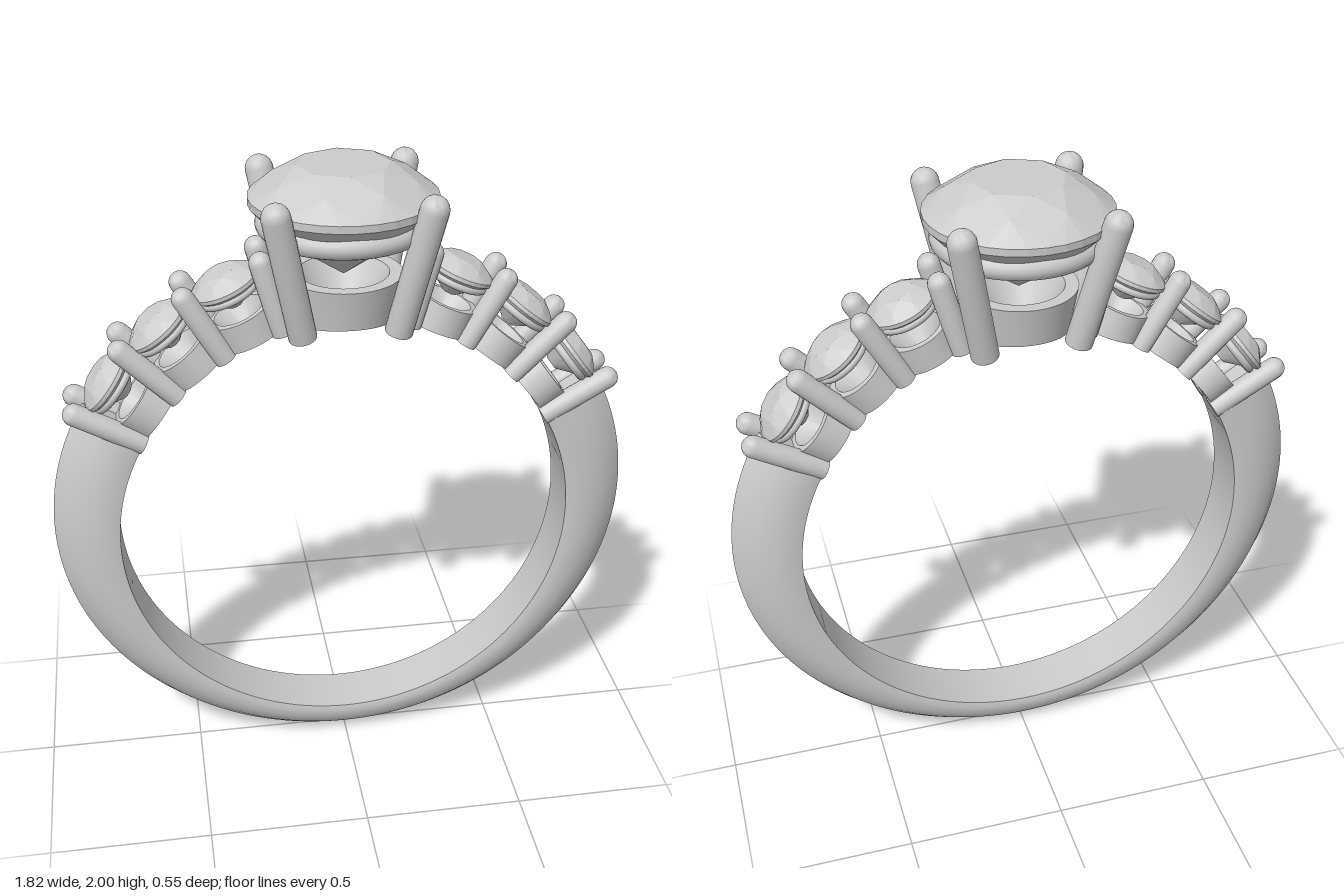
import * as THREE from 'three';
import { toCreasedNormals } from 'three/addons/utils/BufferGeometryUtils.js';
import { ConvexGeometry } from 'three/addons/geometries/ConvexGeometry.js';

const metal = new THREE.MeshStandardMaterial({ color: 0xcccccc });
const gemMaterial = new THREE.MeshStandardMaterial({ color: 0xcccccc, flatShading: true });
const FINGER = { y: 0.84, r: 0.71 };
const V = (x, y, z) => new THREE.Vector3(x, y, z);

function add(parent, name, geometry, material = metal) {
  const mesh = new THREE.Mesh(geometry, material);
  mesh.name = name;
  parent.add(mesh);
  return mesh;
}

// Knife-edged band: a pointed-arch section swept around the finger hole, thicker at the shoulders
function bandGeometry() {
  const half = [[0, 0.086], [0.14, 0.091], [0.4, 0.085], [0.65, 0.064], [0.85, 0.034]];
  const section = [...half, [1, 0], ...half.map(([t, z]) => [t, -z]).reverse()];
  const n = section.length, steps = 120;
  const pos = [], idx = [];
  for (let i = 0; i <= steps; i++) {
    const a = THREE.MathUtils.degToRad(150 + (240 * i) / steps);
    const c = Math.cos(a), s = Math.sin(a);
    for (const [t, z] of section) {
      pos.push(
        THREE.MathUtils.lerp(FINGER.r * c, 0.91 * c, t),
        THREE.MathUtils.lerp(FINGER.y + FINGER.r * s, 0.87 + 0.868 * s, t), z);
    }
  }
  for (let i = 0; i < steps; i++) {
    for (let j = 0; j < n; j++) {
      const k = (j + 1) % n, a = i * n, b = a + n;
      idx.push(a + j, a + k, b + j, b + j, a + k, b + k);
    }
  }
  const last = steps * n;
  for (let j = 1; j < n - 1; j++) {
    idx.push(0, j + 1, j, last, last + j, last + j + 1);
  }
  const g = new THREE.BufferGeometry();
  g.setAttribute('position', new THREE.Float32BufferAttribute(pos, 3));
  g.setIndex(idx);
  return toCreasedNormals(g, 0.6);
}

// Faceted round stone with its girdle at y = 0
function gemGeometry(r, crown, pavilion, girdle, culet) {
  const pts = [];
  const ring = (count, radius, y, turn = 0) => {
    for (let i = 0; i < count; i++) {
      const a = ((i + turn) / count) * Math.PI * 2;
      pts.push(V(radius * Math.cos(a), y, radius * Math.sin(a)));
    }
  };
  ring(8, r * 0.5, crown);
  ring(8, r * 0.76, crown * 0.64, 0.5);
  ring(32, r, girdle / 2);
  ring(32, r, -girdle / 2);
  ring(8, r * 0.72, -pavilion * 0.42, 0.5);
  ring(8, culet, -pavilion);
  return new ConvexGeometry(pts);
}

// Round wire with a flat foot and domed tip, running from a to b
function addProng(parent, name, a, b, r) {
  const length = a.distanceTo(b);
  const profile = [new THREE.Vector2(0, 0), new THREE.Vector2(r, 0)];
  for (let i = 0; i <= 6; i++) {
    const t = (i / 6) * Math.PI / 2;
    profile.push(new THREE.Vector2(i === 6 ? 0 : r * Math.cos(t), length - r + r * Math.sin(t)));
  }
  const mesh = add(parent, name, toCreasedNormals(new THREE.LatheGeometry(profile, 20), 0.7));
  mesh.position.copy(a);
  mesh.quaternion.setFromUnitVectors(V(0, 1, 0), b.clone().sub(a).normalize());
}

// Wire ring that carries a stone just below its girdle
function addBasket(parent, name, radius, wire, y) {
  const mesh = add(parent, name, new THREE.TorusGeometry(radius, wire, 14, 48));
  mesh.rotation.x = Math.PI / 2;
  mesh.position.y = y;
}

// Cup with a tapered hole; its underside follows the finger hole (y measured from the hole's centre)
function seatGeometry(outerBottom, outerTop, top, holeTop, holeBottom) {
  const profile = [
    [holeBottom, FINGER.r], [outerBottom, FINGER.r], [outerTop, top], [holeTop, top], [holeBottom, FINGER.r],
  ];
  const g = new THREE.LatheGeometry(profile.map(([x, y]) => new THREE.Vector2(x, y)), 40);
  const p = g.attributes.position;
  for (let i = 0; i < p.count; i++) {
    if (p.getY(i) < FINGER.r + 0.001) p.setY(i, Math.sqrt(FINGER.r ** 2 - p.getX(i) ** 2));
  }
  return toCreasedNormals(g, 0.6);
}

export function createModel() {
  const ring = new THREE.Group();
  ring.name = 'ring';
  add(ring, 'band', bandGeometry());

  // Centre setting
  const centre = new THREE.Group();
  centre.name = 'centreSetting';
  ring.add(centre);
  add(centre, 'centreStone', gemGeometry(0.275, 0.1, 0.23, 0.022, 0.004), gemMaterial).position.y = 1.9;
  addBasket(centre, 'basketRing', 0.222, 0.034, 1.83);
  add(centre, 'centreSeat', seatGeometry(0.15, 0.175, 0.835, 0.135, 0.065)).position.y = FINGER.y;
  for (const x of [-1, 1]) {
    for (const z of [-1, 1]) {
      addProng(centre, 'centreProng', V(x * 0.14, 1.535, z * 0.14), V(x * 0.226, 1.965, z * 0.226), 0.042);
    }
  }

  // Shoulder settings: three stones and four pairs of shared prongs on each side
  const accentGem = gemGeometry(0.108, 0.042, 0.075, 0.012, 0.022);
  const accentSeat = seatGeometry(0.1, 0.1, 0.795, 0.08, 0.025);
  for (const side of [-1, 1]) {
    const shoulder = new THREE.Group();
    shoulder.name = side > 0 ? 'leftShoulder' : 'rightShoulder';
    ring.add(shoulder);
    const spoke = (name, degrees) => {
      const g = new THREE.Group();
      g.name = name;
      g.position.y = FINGER.y;
      g.rotation.z = side * THREE.MathUtils.degToRad(degrees - 90);
      shoulder.add(g);
      return g;
    };
    for (let i = 0; i < 3; i++) {
      const setting = spoke('accentSetting', 37 + 15 * i);
      add(setting, 'accentStone', accentGem, gemMaterial).position.y = 0.89;
      addBasket(setting, 'accentBasketRing', 0.088, 0.013, 0.865);
      add(setting, 'accentSeat', accentSeat);
    }
    for (let i = 0; i < 4; i++) {
      const pair = spoke('accentProngPair', 29.5 + 15 * i);
      for (const z of [-1, 1]) {
        addProng(pair, 'accentProng', V(0, 0.705, z * 0.065), V(0, 0.967, z * 0.065), 0.034);
      }
    }
  }
  return ring;
}
